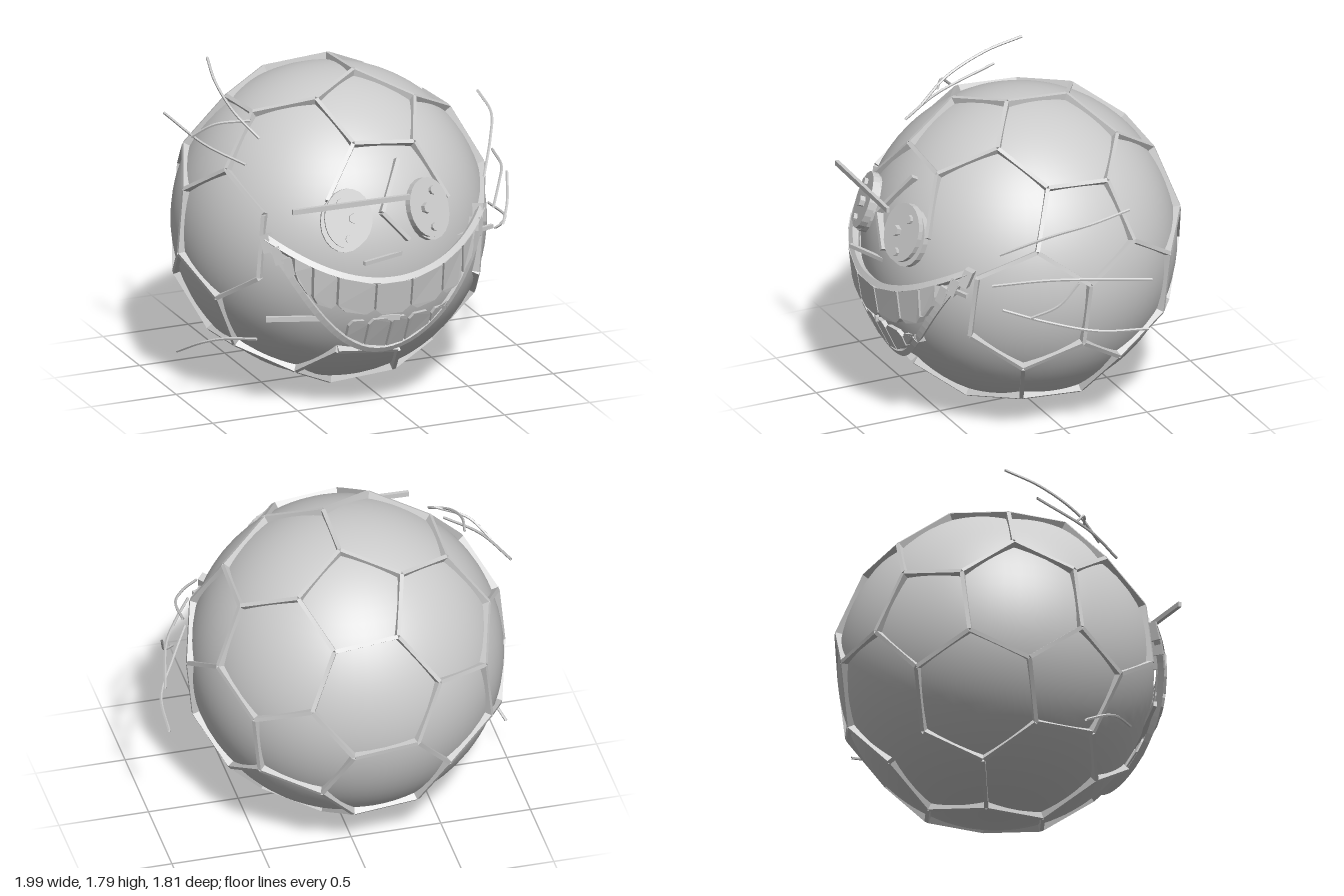
import * as THREE from 'three';
import { ParametricGeometry } from 'three/addons/geometries/ParametricGeometry.js';

const C = new THREE.Vector3(-0.095, 0.866, -0.02); // ball centre
const smooth = new THREE.MeshStandardMaterial({ color: 0xcccccc, side: THREE.DoubleSide });
const flat = new THREE.MeshStandardMaterial({ color: 0xcccccc, flatShading: true, side: THREE.DoubleSide });
const V = (x, y, z) => new THREE.Vector3(x, y, z);

function add(parent, name, geo, mat = flat) {
  const m = new THREE.Mesh(geo, mat);
  m.name = name;
  parent.add(m);
  return m;
}

// point on a sphere of radius r, in front of local (x, y)
const onBall = (x, y, r) => V(x, y, Math.sqrt(Math.max(0, r * r - x * x - y * y)));

// bar between two points, its depth axis pointing along "out"
function bar(parent, name, a, b, width, depth, out) {
  const y = b.clone().sub(a), len = y.length();
  y.normalize();
  const x = y.clone().cross(out).normalize();
  const m = add(parent, name, new THREE.BoxGeometry(width, len, depth));
  m.quaternion.setFromRotationMatrix(new THREE.Matrix4().makeBasis(x, y, x.clone().cross(y)));
  m.position.copy(a).add(b).multiplyScalar(0.5);
  return m;
}

// curved plate: a flat outline wrapped onto the ball
function plate(parent, name, pts, r0, r1) {
  const shape = new THREE.Shape(pts.map(p => new THREE.Vector2(p[0], p[1])));
  const g = new THREE.ExtrudeGeometry(shape, { depth: 1, bevelEnabled: false });
  const p = g.attributes.position;
  for (let i = 0; i < p.count; i++) {
    const q = onBall(p.getX(i), p.getY(i), p.getZ(i) > 0.5 ? r1 : r0);
    p.setXYZ(i, q.x, q.y, q.z);
  }
  g.computeVertexNormals();
  return add(parent, name, g);
}

// hexagon and pentagon lattice of struts
function buildLattice() {
  const g = new THREE.Group();
  g.name = 'panelLattice';
  const f = (1 + Math.sqrt(5)) / 2, ico = [];
  for (const s of [1, -1]) for (const t of [1, -1])
    ico.push(V(f * s, t, 0), V(0, f * s, t), V(t, 0, f * s));
  const tilt = new THREE.Euler(-0.07, 0, -0.11);
  const pts = [];
  for (const a of ico) for (const b of ico)
    if (a !== b && a.distanceTo(b) < 2.1)
      pts.push(a.clone().multiplyScalar(2).add(b).normalize().multiplyScalar(0.895).applyEuler(tilt));
  pts.forEach((a, i) => pts.slice(i + 1).forEach(b => {
    if (a.distanceTo(b) > 0.4) return;
    const mid = a.clone().add(b).normalize();
    // leave the face clear
    if (mid.z > 0.7 && mid.y < 0.45 && mid.y > -0.5) return;
    const k = 0.97;
    bar(g, 'strut', a.clone().multiplyScalar(k), b.clone().multiplyScalar(k), 0.022, 0.052, mid);
  }));
  // bent seam between the eyes
  const seam = [[0.11, 0.54], [-0.04, 0.3], [0.1, 0.14]].map(p => onBall(p[0], p[1], 0.87));
  for (let i = 0; i < 2; i++) bar(g, 'faceSeam', seam[i], seam[i + 1], 0.022, 0.05, seam[i]);
  return g;
}

// grinning mouth
const HALF = 0.63;
const top = x => -0.066 + 0.235 * (x / HALF) ** 2;
const low = x => -0.5 + 0.67 * (x / HALF) ** 2;

function buildMouth() {
  const g = new THREE.Group();
  g.name = 'mouth';
  add(g, 'mouthPanel', new ParametricGeometry((u, v, t) => {
    const x = HALF * (2 * u - 1);
    t.copy(onBall(x, low(x) + (top(x) - low(x)) * v, 0.89));
  }, 32, 12), smooth);

  for (const [name, fn] of [['upperLip', top], ['lowerLip', low]]) {
    const path = [];
    for (let i = 0; i <= 20; i++) {
      const x = HALF * (i / 10 - 1);
      path.push(onBall(x, fn(x), 0.895));
    }
    add(g, name, new THREE.TubeGeometry(new THREE.CatmullRomCurve3(path), 40, 0.024, 4));
  }

  // chamfered teeth following the lips
  const xs = [-0.53, -0.44, -0.315, -0.11, 0.1, 0.3, 0.44, 0.53];
  for (let i = 0; i < 7; i++) {
    const a = xs[i] + 0.006, b = xs[i + 1] - 0.006, c = (b - a) * 0.2;
    const bottom = x => Math.max(-0.26 + 0.5 * x * x, low(x) + 0.02);
    plate(g, 'upperTooth', [[a, bottom(a) + 0.03], [a + c, bottom(a + c)], [b - c, bottom(b - c)],
      [b, bottom(b) + 0.03], [b, top(b) - 0.01], [a, top(a) - 0.01]], 0.87, 0.925);
  }
  const ls = [-0.24, -0.13, 0.0, 0.105, 0.25, 0.36];
  for (let i = 0; i < 5; i++) {
    const a = ls[i] + 0.006, b = ls[i + 1] - 0.006, c = (b - a) * 0.2, t = -0.29;
    plate(g, 'lowerTooth', [[a, low(a) + 0.02], [b, low(b) + 0.02], [b, t - 0.03],
      [b - c, t], [a + c, t], [a, t - 0.03]], 0.87, 0.915);
  }

  // stepped clips at the mouth corners
  for (const s of [-1, 1]) for (let i = 0; i < 3; i++) {
    const p = onBall(s * (0.62 - i * 0.045), 0.14 - i * 0.055, 0.88);
    const m = add(g, 'mouthCorner', new THREE.BoxGeometry(0.05, 0.1, 0.07));
    m.position.copy(p);
    m.lookAt(p.clone().multiplyScalar(2));
    m.rotateZ(-s * 0.35);
  }
  return g;
}

// button eye with knobs
function buildEye(x, s) {
  const eye = new THREE.Group();
  eye.name = s > 0 ? 'leftEye' : 'rightEye';
  const disc = (name, r, d, px, py, pz, n) => {
    const m = add(eye, name, new THREE.CylinderGeometry(r, r, d, n).rotateX(Math.PI / 2));
    m.position.set(px, py, pz);
    return m;
  };
  disc('eyeBack', 0.13, 0.05, 0.02 * s, -0.02, -0.035, 20).scale.y = 1.25;
  disc('eyeDisc', 0.13, 0.04, 0, 0, 0, 24).scale.y = 1.25;
  disc('pupil', 0.03, 0.06, -0.03 * s, 0, 0.02, 6);
  disc('eyeKnob', 0.025, 0.05, 0.04 * s, 0.085, 0.015, 8);
  disc('eyeKnob', 0.022, 0.05, 0.0, -0.11, 0.015, 8);
  eye.position.copy(onBall(x, 0.29, 0.885));
  eye.lookAt(eye.position.clone().multiplyScalar(2));
  return eye;
}

export function createModel() {
  const root = new THREE.Group();
  root.name = 'grinningBall';

  const ball = new THREE.Group();
  ball.name = 'ball';
  ball.position.copy(C);
  add(ball, 'innerSphere', new THREE.SphereGeometry(0.855, 64, 40), smooth);
  ball.add(buildLattice(), buildMouth(), buildEye(-0.23, -1), buildEye(0.235, 1));
  root.add(ball);

  // loose straight bars across the face
  const F = V(0, 0, 1);
  bar(root, 'browBar', V(-0.66, 1.245, 0.8), V(0.02, 1.245, 0.82), 0.028, 0.02, F);
  bar(root, 'mouthBar', V(-0.28, 0.93, 0.9), V(0.59, 0.93, 0.62), 0.022, 0.02, F);
  bar(root, 'cheekBar', V(-0.73, 0.575, 0.6), V(-0.05, 0.575, 0.85), 0.028, 0.02, F);

  // whiskers, root to tip
  const whiskers = [
    [[0.62, 1.15, 0.44], [0.76, 1.27, 0.2], [0.85, 1.34, 0.0], [0.865, 1.39, -0.22]],
    [[0.65, 0.99, 0.5], [0.79, 1.03, 0.25], [0.89, 1.04, 0.05], [0.985, 1.01, -0.3]],
    [[0.68, 0.85, 0.45], [0.8, 0.79, 0.25], [0.93, 0.74, 0.0], [0.96, 0.71, -0.29]],
    [[0.78, 0.82, 0.33], [0.86, 0.9, 0.2], [0.9, 1.03, 0.1]],
    [[-0.64, 1.5, 0.3], [-0.71, 1.6, 0.12], [-0.72, 1.7, -0.12], [-0.68, 1.765, -0.32]],
    [[-0.74, 1.38, 0.35], [-0.87, 1.43, 0.1], [-0.95, 1.5, -0.28]],
    [[-0.65, 1.57, 0.2], [-0.81, 1.54, 0.1], [-0.91, 1.45, 0.0]],
    [[-0.72, 0.41, 0.45], [-0.84, 0.38, 0.3], [-0.92, 0.33, 0.18], [-0.995, 0.23, 0.0]],
  ];
  for (const w of whiskers) {
    const curve = new THREE.CatmullRomCurve3(w.map(p => V(...p)));
    add(root, 'whisker', new THREE.TubeGeometry(curve, 16, 0.008, 5));
  }
  return root;
}
